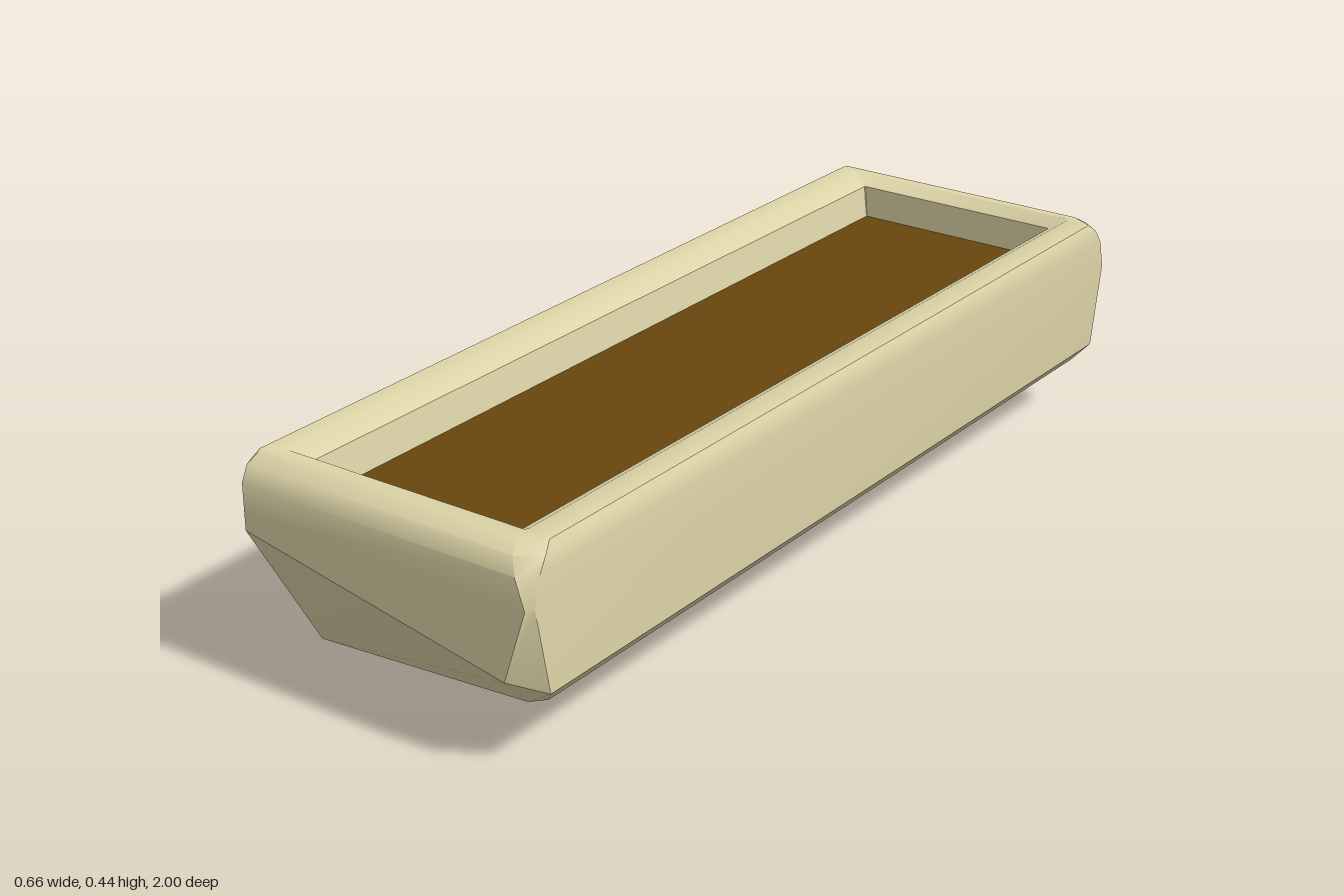
import * as THREE from 'three';
import { toCreasedNormals } from 'three/addons/utils/BufferGeometryUtils.js';

// Half cross-sections from bottom to top: four [x, y, z] points on the +z half,
// running from the left-hand long wall round to the right-hand one.
const underside = [-0.33, 0.003, 0.825, -0.322, 0, 0.83, 0.27, 0.115, 0.94, 0.3, 0.12, 0.92];
const fold = [-0.33, 0.295, 0.99, -0.325, 0.295, 1, 0.27, 0.18, 1, 0.33, 0.155, 0.95];
const wallRings = [
  fold,
  [-0.33, 0.33, 0.99, -0.325, 0.33, 1, 0.32, 0.33, 1, 0.33, 0.33, 0.985],
  [-0.33, 0.39, 0.99, -0.325, 0.39, 1, 0.3, 0.39, 1, 0.33, 0.39, 0.97],
  [-0.33, 0.42, 0.975, -0.325, 0.42, 0.985, 0.285, 0.42, 0.985, 0.328, 0.42, 0.95],
  [-0.326, 0.438, 0.95, -0.32, 0.438, 0.957, 0.27, 0.438, 0.957, 0.32, 0.438, 0.93],
  // rim top, inner roll and inner wall
  [-0.28, 0.441, 0.925, -0.275, 0.441, 0.93, 0.265, 0.441, 0.93, 0.27, 0.441, 0.925],
  [-0.24, 0.42, 0.903, -0.238, 0.42, 0.905, 0.233, 0.42, 0.905, 0.235, 0.42, 0.903],
  [-0.23, 0.35, 0.899, -0.229, 0.35, 0.9, 0.224, 0.35, 0.9, 0.225, 0.35, 0.899],
];

// Mirror a half section across z = 0 into a closed ring
function fullRing(half) {
  const pts = [];
  for (let i = 0; i < half.length; i += 3) pts.push([half[i], half[i + 1], half[i + 2]]);
  const back = pts.map(([x, y, z]) => [x, y, -z]).reverse();
  return [...pts, ...back];
}

// Skin a stack of rings, optionally closing the lowest one
function skin(halves, closeBottom) {
  const rings = halves.map(fullRing);
  const n = rings[0].length;
  const index = [];
  for (let i = 0; i < rings.length - 1; i++) {
    for (let j = 0; j < n; j++) {
      const k = (j + 1) % n;
      const a = i * n + j, b = i * n + k, c = b + n, d = a + n;
      index.push(a, b, c, a, c, d);
    }
  }
  if (closeBottom) for (let j = 1; j < n - 1; j++) index.push(0, j + 1, j);
  const geo = new THREE.BufferGeometry();
  geo.setAttribute('position', new THREE.Float32BufferAttribute(rings.flat(2), 3));
  geo.setIndex(index);
  return toCreasedNormals(geo, 0.62);
}

export function createModel() {
  const group = new THREE.Group();
  group.name = 'planterBox';
  const cream = new THREE.MeshStandardMaterial({ color: 0xded5a8 });
  cream.name = 'cream';
  const brown = new THREE.MeshStandardMaterial({ color: 0x68470e });
  brown.name = 'soilBrown';

  const add = (name, geo, mat) => {
    const mesh = new THREE.Mesh(geo, mat);
    mesh.name = name;
    group.add(mesh);
    return mesh;
  };

  // Tapered base with a sloping underside
  add('base', skin([underside, fold], true), cream);
  // Walls and rounded rim, folding down into the opening
  add('wallsAndRim', skin(wallRings, false), cream);
  // Soil filling the opening
  const soil = add('soil', new THREE.PlaneGeometry(0.455, 1.8).rotateX(-Math.PI / 2), brown);
  soil.position.set(-0.0025, 0.352, 0);

  return group;
}
